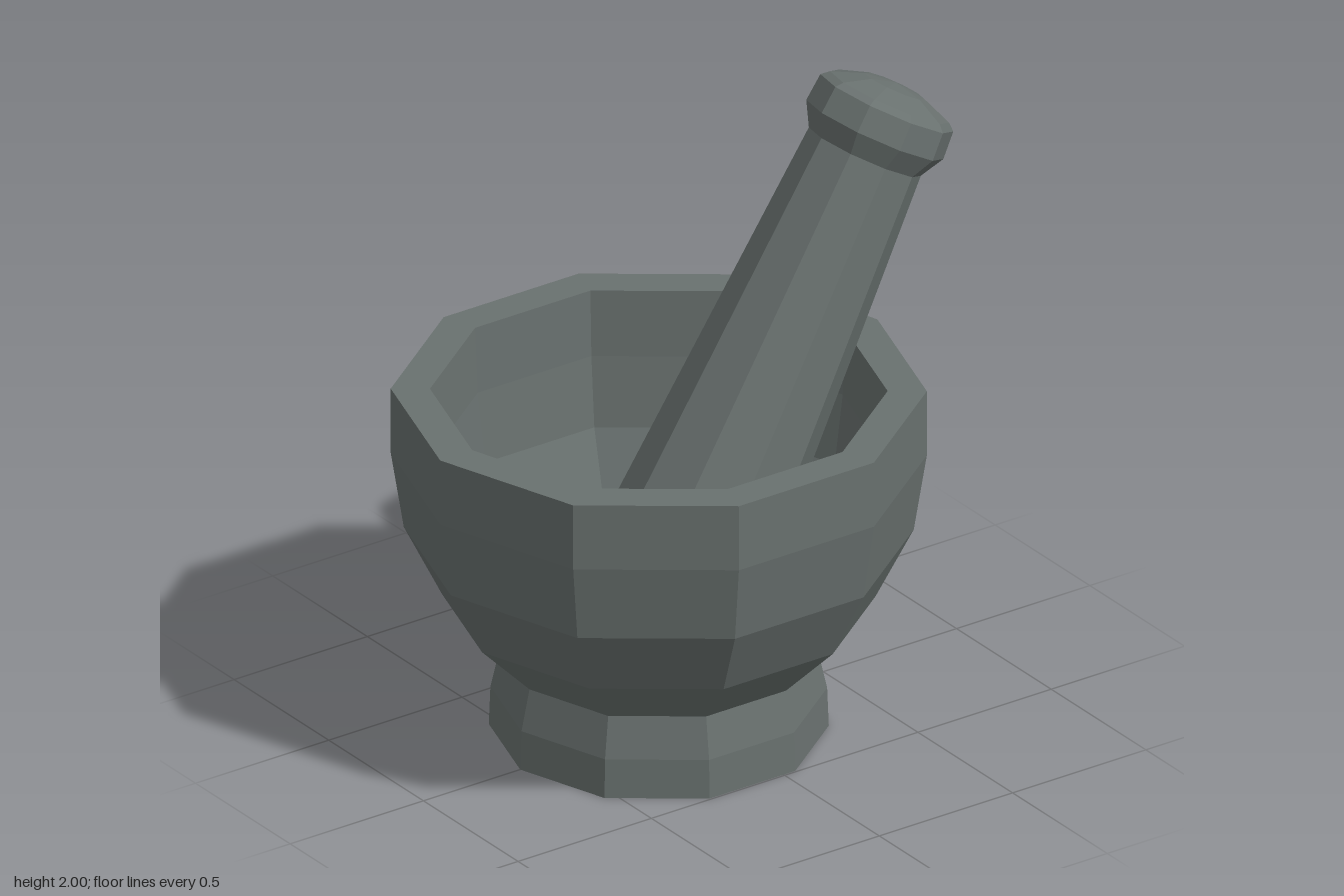
import * as THREE from 'three';

const SIDES = 10;

// Faceted turned part with a corner on the x axis; profile is [radius, height] pairs
function turned(name, profile, material) {
  const points = profile.map(([r, y]) => new THREE.Vector2(r, y));
  const mesh = new THREE.Mesh(new THREE.LatheGeometry(points, SIDES, Math.PI / 2), material);
  mesh.name = name;
  return mesh;
}

export function createModel() {
  const model = new THREE.Group();
  model.name = 'mortarAndPestle';

  const stone = new THREE.MeshStandardMaterial({ color: 0x69716f });
  stone.name = 'grey stone';
  stone.flatShading = true;

  // Mortar: flared foot, and a thick bowl with a hollow inside
  const mortar = new THREE.Group();
  mortar.name = 'mortar';
  mortar.position.x = -0.117;
  mortar.add(
    turned('foot', [[0, 0], [0.52, 0], [0.515, 0.13], [0.485, 0.265]], stone),
    turned('bowl', [
      [0.485, 0.265], [0.663, 0.445], [0.78, 0.675], [0.82, 0.93], [0.82, 1.15],
      [0.70, 1.15], [0.69, 0.93], [0.66, 0.70], [0.57, 0.50], [0.415, 0.38], [0, 0.33],
    ], stone),
  );

  // Pestle: tapered shaft with a rounded grinding end and a domed head, leaning to +x
  const pestle = new THREE.Group();
  pestle.name = 'pestle';
  pestle.position.set(-0.2615, 0.151, 0);
  pestle.rotation.z = -Math.PI / 6;
  pestle.add(
    turned('shaft', [[0, 0.26], [0.2, 0.31], [0.275, 0.40], [0.188, 1.835]], stone),
    turned('head', [
      [0.188, 1.835], [0.23, 1.91], [0.223, 2.0], [0.2, 2.02], [0.1, 2.057], [0, 2.069],
    ], stone),
  );

  model.add(mortar, pestle);
  return model;
}
